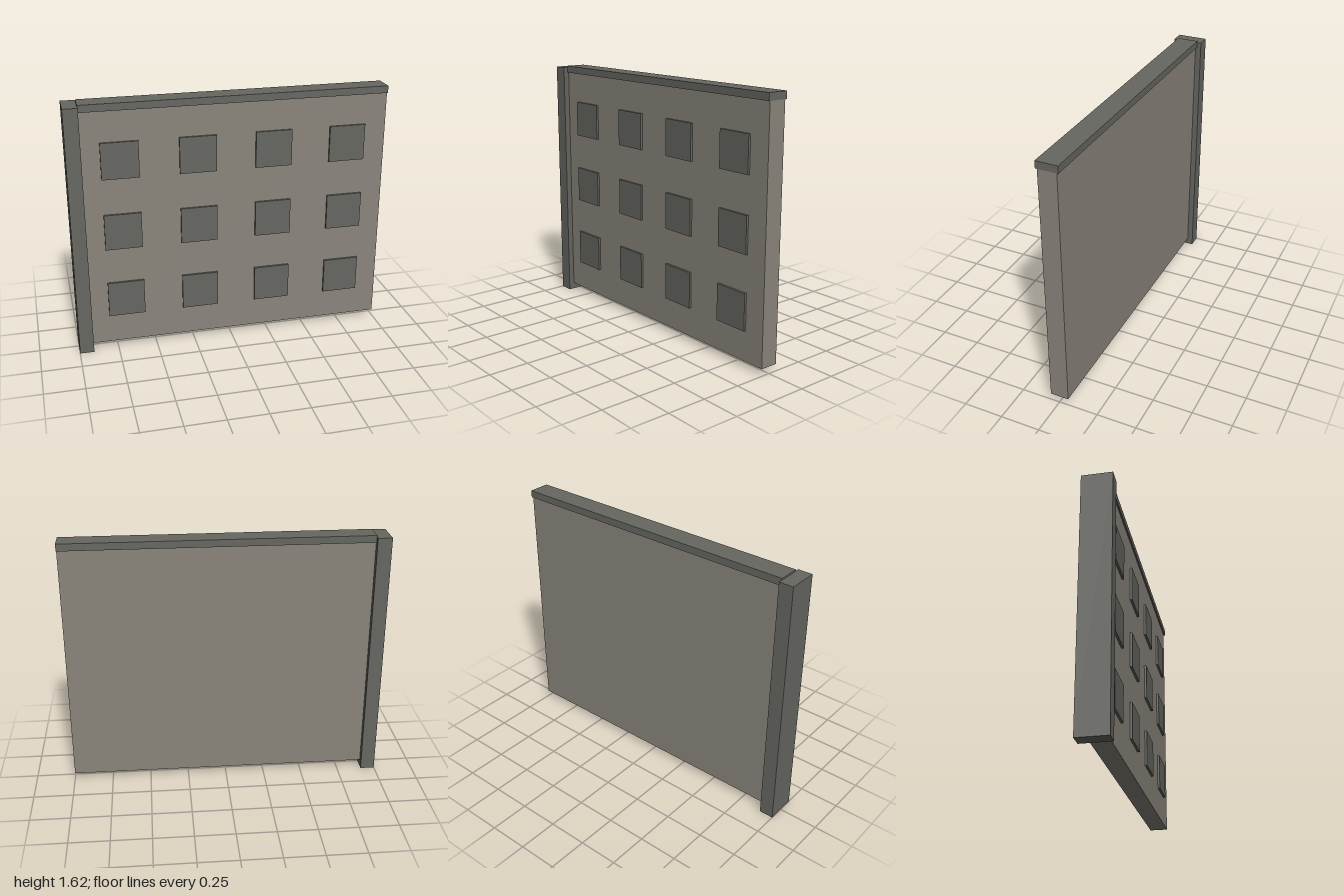
import * as THREE from 'three';

const panelMat = new THREE.MeshStandardMaterial({ color: 0x8a857c });
const trimMat = new THREE.MeshStandardMaterial({ color: 0x666761 });

// Box given by its minimum and maximum corners
function box(name, material, [x0, y0, z0], [x1, y1, z1]) {
  const mesh = new THREE.Mesh(new THREE.BoxGeometry(x1 - x0, y1 - y0, z1 - z0), material);
  mesh.position.set((x0 + x1) / 2, (y0 + y1) / 2, (z0 + z1) / 2);
  mesh.name = name;
  return mesh;
}

export function createModel() {
  const group = new THREE.Group();
  group.name = 'wallPanel';

  // Main slab, raised a little off the ground
  group.add(box('slab', panelMat, [-0.912, 0.043, -0.058], [0.998, 1.576, 0.058]));

  // End post, reaching the ground, and coping along the top
  group.add(box('endPost', trimMat, [-1, 0, -0.095], [-0.91, 1.61, 0.095]));
  group.add(box('topCap', trimMat, [-0.912, 1.575, -0.068], [1, 1.62, 0.068]));

  // Raised square tiles on the front, 4 columns by 3 rows
  const tiles = new THREE.Group();
  tiles.name = 'frontTiles';
  const half = 0.115;
  for (let row = 0; row < 3; row++) {
    for (let col = 0; col < 4; col++) {
      const x = -0.682 + col * 0.476;
      const y = 0.348 + row * 0.46;
      tiles.add(box('tile', trimMat, [x - half, y - half, 0.05], [x + half, y + half, 0.072]));
    }
  }
  group.add(tiles);
  return group;
}
